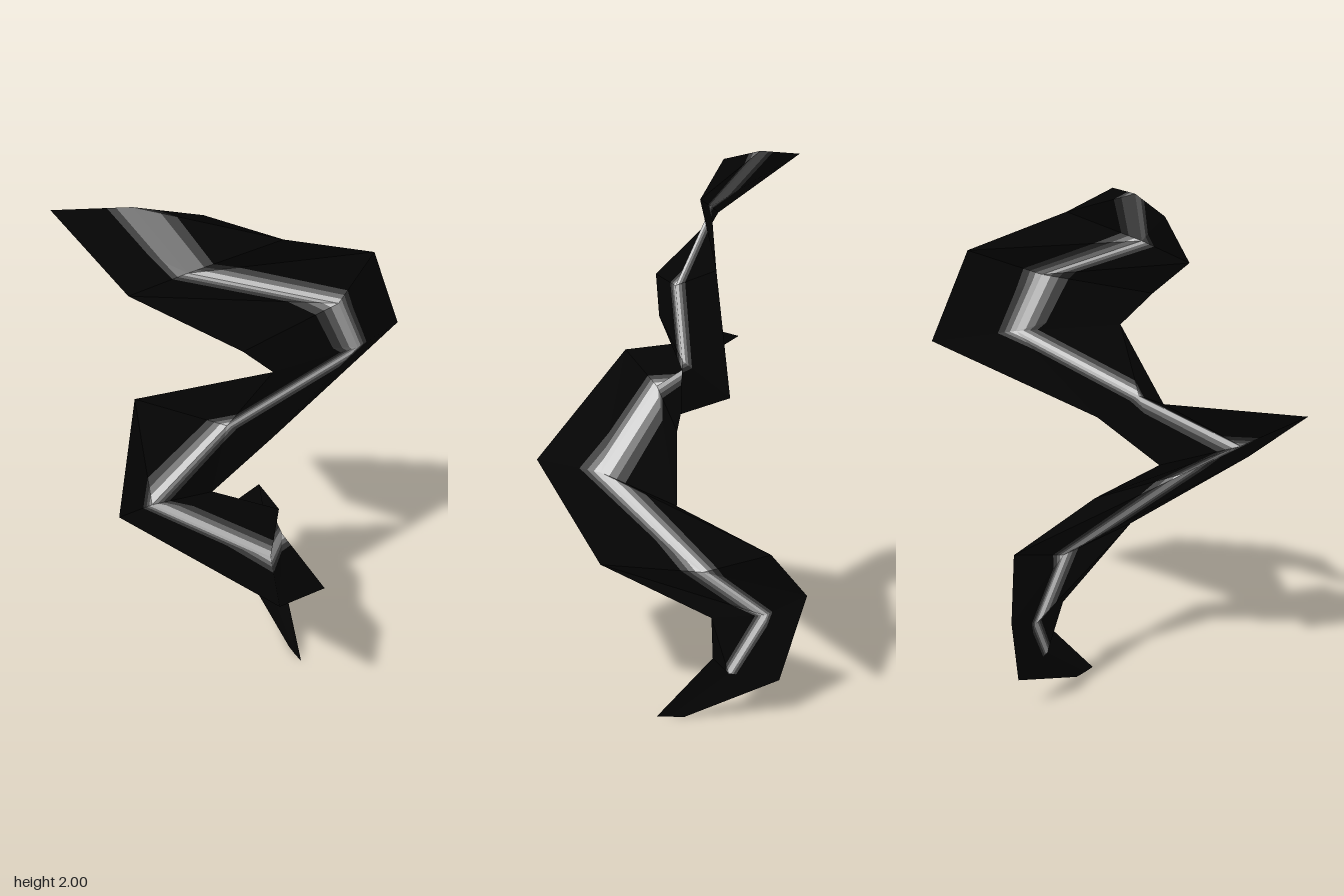
import * as THREE from 'three';

// Rungs of the twisting ribbon from top to bottom: one edge, centre line, other edge
const RUNGS = [
  [[-0.13, 1.98, -0.15], [-0.36, 2.0, -0.19], [-0.63, 1.98, -0.235]],
  [[0.14, 1.86, -0.19], [-0.19, 1.81, -0.075], [-0.39, 1.77, -0.01]],
  [[0.5, 1.68, -0.42], [0.34, 1.6, -0.2], [-0.02, 1.58, 0.06]],
  [[0.63, 1.32, -0.53], [0.43, 1.375, -0.27], [0.09, 1.45, -0.01]],
  [[0.1, 1.11, -0.1], [-0.07, 1.23, -0.02], [-0.39, 1.31, -0.1]],
  [[-0.13, 0.98, 0.03], [-0.35, 1.09, 0.23], [-0.46, 1.2, 0.43]],
  [[0.13, 0.78, -0.1], [0.06, 0.84, 0.25], [0.06, 0.855, 0.53]],
  [[0.09, 0.64, -0.45], [0.16, 0.56, -0.22], [0.28, 0.57, 0.13]],
  [[-0.06, 0.45, -0.53], [0.02, 0.38, -0.4], [0.13, 0.38, -0.24]],
  [[0.04, 0.15, -0.47], [0.13, 0.18, -0.31], [0.18, 0.25, -0.27]],
  [[0.19, 0, -0.16], [0.21, 0, -0.11], [0.23, 0, -0.07]],
].map((rung) => rung.map((p) => new THREE.Vector3(...p)));

// Relative width of the stripe at each rung
const STRIPE_WIDTH = [0.95, 0.8, 0.75, 0.65, 0.65, 0.85, 1, 0.65, 0.55, 0.45, 0.4];

// Bands across the ribbon, mirrored about the centre line
const BANDS = [
  { name: 'centreStripe', from: 0, to: 0.11, color: 0xd0d0d0, material: 'light grey' },
  { name: 'innerBands', from: 0.11, to: 0.21, color: 0x7a7a7a, material: 'mid grey' },
  { name: 'outerBands', from: 0.21, to: 0.33, color: 0x424242, material: 'dark grey' },
  { name: 'ribbonEdges', from: 0.33, to: 1, color: 0x040404, material: 'black' },
];

// Point between the centre of rung i (t = 0) and the edge of rung j (t = 1)
function across(i, j, side, t) {
  const width = (STRIPE_WIDTH[i] + STRIPE_WIDTH[j]) / 2;
  return RUNGS[i][1].clone().lerp(RUNGS[j][side], t === 1 ? 1 : t * width);
}

export function createModel() {
  const group = new THREE.Group();
  group.name = 'twistingRibbon';
  const triangles = BANDS.map(() => []);
  const last = RUNGS.length - 2;

  for (let i = 0; i <= last; i++) {
    for (const side of [0, 2]) {
      // Each half is folded along one diagonal; all diagonals run the same way
      const diagonal = side === 0 ? [i, i + 1] : [i + 1, i];
      const folds = [[i, i], diagonal, [i + 1, i + 1]];
      BANDS.forEach((band, b) => {
        // The stripe is dimmer on the first stretch and gone on the last
        let shade = b;
        if (i === 0) shade = Math.max(1, b);
        if (i === last) shade = 3;
        const inner = folds.map(([c, e]) => across(c, e, side, band.from));
        const outer = folds.map(([c, e]) => across(c, e, side, band.to));
        for (let k = 0; k < 2; k++) {
          const [a, c, d, e] = [inner[k], outer[k], inner[k + 1], outer[k + 1]];
          const corners = side === 0 ? [a, d, c, c, d, e] : [a, c, d, c, e, d];
          triangles[shade].push(...corners);
        }
      });
    }
  }

  // One open sheet for each colour
  BANDS.forEach((band, b) => {
    const geometry = new THREE.BufferGeometry().setFromPoints(triangles[b]);
    geometry.computeVertexNormals();
    const material = new THREE.MeshStandardMaterial({ color: band.color, side: THREE.DoubleSide });
    material.name = band.material;
    const mesh = new THREE.Mesh(geometry, material);
    mesh.name = band.name;
    group.add(mesh);
  });
  return group;
}
